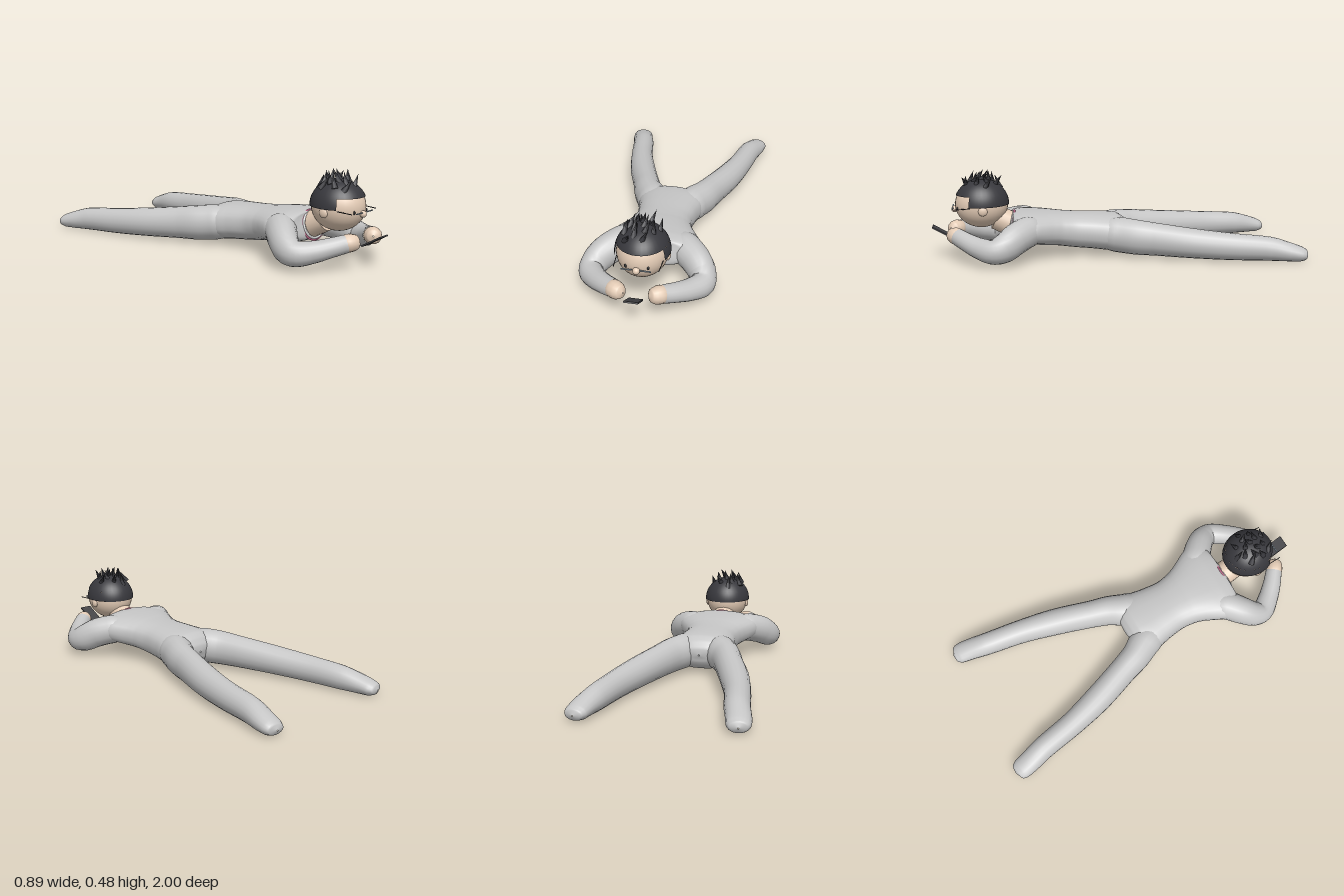
import * as THREE from 'three';

const mat = (name, color, opts = {}) => {
  const m = new THREE.MeshStandardMaterial({ color, ...opts });
  m.name = name;
  return m;
};

// Smooth limb: each section is [x, y, z, side radius, vertical radius]; power below 1 gives a boxier section
function limb(sections, sides = 18, power = 1) {
  const path = new THREE.CatmullRomCurve3(sections.map(s => new THREE.Vector3(s[0], s[1], s[2])));
  const size = new THREE.CatmullRomCurve3(sections.map(s => new THREE.Vector3(s[3], s[4], 0)));
  const n = (sections.length - 1) * 5;
  const up = new THREE.Vector3(0, 1, 0);
  const full = v => Math.sign(v) * Math.abs(v) ** power;
  const pos = [], idx = [];
  for (let i = 0; i <= n; i++) {
    const c = path.getPoint(i / n), r = size.getPoint(i / n), t = path.getTangent(i / n);
    const side = new THREE.Vector3().crossVectors(t, up).normalize();
    const top = new THREE.Vector3().crossVectors(side, t).normalize();
    for (let j = 0; j < sides; j++) {
      const a = (j / sides) * Math.PI * 2;
      const p = c.clone().addScaledVector(side, full(Math.cos(a)) * r.x).addScaledVector(top, full(Math.sin(a)) * r.y);
      pos.push(p.x, p.y, p.z);
      if (i < n) {
        const k = (j + 1) % sides, b = i * sides, d = b + sides;
        idx.push(b + j, d + j, b + k, b + k, d + j, d + k);
      }
    }
  }
  const g = new THREE.BufferGeometry();
  g.setAttribute('position', new THREE.Float32BufferAttribute(pos, 3));
  g.setIndex(idx);
  g.computeVertexNormals();
  return g;
}

export function createModel() {
  const model = new THREE.Group();
  const suit = mat('suit grey', 0xc6c6c6);
  const skin = mat('skin', 0xe4ccb6);
  const hair = mat('hair black', 0x38383d, { side: THREE.DoubleSide });
  const dark = mat('feature black', 0x2c2c2f);
  const device = mat('device charcoal', 0x444447);
  const pink = mat('collar pink', 0xc56a8c);
  const pale = mat('collar pale grey', 0xd2d2d2);
  const metal = mat('glasses blue grey', 0x9fb0bd);

  const add = (name, geo, material, x = 0, y = 0, z = 0, parent = model) => {
    const m = new THREE.Mesh(geo, material);
    m.name = name;
    m.position.set(x, y, z);
    parent.add(m);
    return m;
  };

  // Torso, from crotch to shoulders
  add('torso', limb([
    [0, 0.118, -0.086, 0.004, 0.004], [0, 0.119, -0.078, 0.09, 0.04], [0, 0.12, -0.055, 0.13, 0.074],
    [0, 0.121, -0.015, 0.168, 0.097], [0, 0.124, 0.04, 0.18, 0.101], [0, 0.131, 0.12, 0.165, 0.099],
    [0, 0.138, 0.22, 0.154, 0.096], [0, 0.147, 0.30, 0.166, 0.092], [0, 0.153, 0.35, 0.186, 0.091],
    [0, 0.158, 0.40, 0.213, 0.09], [0, 0.163, 0.45, 0.238, 0.088], [0, 0.167, 0.50, 0.246, 0.086],
    [0, 0.17, 0.545, 0.222, 0.08], [0, 0.172, 0.574, 0.165, 0.07], [0, 0.175, 0.585, 0.004, 0.004],
  ], 28, 0.82), suit);

  for (const s of [1, -1]) {
    const side = s > 0 ? 'left' : 'right';
    // Leg stretched out behind
    add(side + 'Leg', limb([
      [0.085, 0.124, 0.13, 0.05, 0.06], [0.107, 0.12, 0, 0.092, 0.097], [0.158, 0.112, -0.1, 0.083, 0.096],
      [0.193, 0.105, -0.2, 0.077, 0.09], [0.261, 0.09, -0.4, 0.076, 0.081], [0.313, 0.077, -0.6, 0.067, 0.073],
      [0.349, 0.066, -0.8, 0.064, 0.065], [0.374, 0.051, -0.9, 0.062, 0.051], [0.385, 0.041, -0.96, 0.059, 0.04],
      [0.388, 0.038, -0.988, 0.045, 0.028], [0.39, 0.037, -1, 0.003, 0.003],
    ].map(p => [p[0] * s, ...p.slice(1)])), suit);
    // Bent arm from shoulder round the elbow to the wrist
    add(side + 'Arm', limb([
      [0.10, 0.165, 0.40, 0.04, 0.045], [0.165, 0.163, 0.49, 0.083, 0.083], [0.235, 0.14, 0.56, 0.077, 0.084],
      [0.279, 0.105, 0.62, 0.069, 0.078], [0.286, 0.089, 0.675, 0.063, 0.066], [0.239, 0.099, 0.745, 0.057, 0.056],
      [0.177, 0.12, 0.81, 0.051, 0.049], [0.12, 0.137, 0.858, 0.046, 0.046],
    ].map(p => [p[0] * s, ...p.slice(1)])), suit);
    // Rounded fist
    add(side + 'Hand', limb([
      [0.128, 0.135, 0.852, 0.043, 0.043], [0.112, 0.14, 0.866, 0.047, 0.046], [0.092, 0.143, 0.881, 0.044, 0.043],
      [0.073, 0.147, 0.893, 0.032, 0.033], [0.062, 0.149, 0.9, 0.003, 0.003],
    ].map(p => [p[0] * s, ...p.slice(1)]), 14), skin);
  }

  // Neck and tilted collar rings, half sunk into the shoulders
  const neck = add('neck', new THREE.CylinderGeometry(0.065, 0.07, 0.1, 20), skin, 0, 0.195, 0.61);
  neck.rotation.x = 1.15;
  const inner = add('innerCollar', new THREE.TorusGeometry(0.08, 0.008, 8, 32), pale, 0, 0.174, 0.578);
  const trim = add('collarTrim', new THREE.TorusGeometry(0.09, 0.006, 8, 32), pink, 0, 0.172, 0.574);
  for (const ring of [inner, trim]) {
    ring.scale.y = 0.88;
    ring.rotation.x = -0.28;
  }

  // Head
  const head = new THREE.Group();
  head.name = 'head';
  head.position.set(0, 0.294, 0.73);
  model.add(head);
  add('face', new THREE.SphereGeometry(0.128, 32, 24), skin, 0, 0, 0, head).scale.z = 1.12;
  add('nose', new THREE.SphereGeometry(0.018, 16, 12), skin, 0, -0.025, 0.146, head);

  // Hair: crown all round, lower band open at the face
  const cut = 1.167;
  add('hairCrown', new THREE.SphereGeometry(0.138, 32, 12, 0, Math.PI * 2, 0, cut), hair, 0, 0, 0, head).scale.z = 1.08;
  add('hairBand', new THREE.SphereGeometry(0.138, 32, 5, Math.PI - 0.48, Math.PI + 0.96, cut, 0.41), hair, 0, 0, 0, head).scale.z = 1.08;

  // Leaning tufts scattered on the crown
  let seed = 11;
  const rnd = () => (seed = (seed * 16807) % 2147483647) / 2147483647;
  const tuft = new THREE.ConeGeometry(0.018, 0.088, 6);
  tuft.translate(0, 0.03, 0);
  for (let i = 0; i < 16; i++) {
    const a = i * 2.4, r = 0.1 * Math.sqrt((i + 0.5) / 16);
    const x = Math.cos(a) * r, z = Math.sin(a) * r;
    const t = add('hairTuft', tuft, hair, x - 0.01, Math.sqrt(0.019 - r * r) - 0.004, z, head);
    t.rotation.set((rnd() - 0.5) * 1.2, 0, -0.25 + (rnd() - 0.5) * 0.6);
    t.scale.y = 0.78 + rnd() * 0.2;
  }

  // Ears, eyes and glasses
  for (const s of [1, -1]) {
    add('ear', new THREE.SphereGeometry(0.025, 14, 10), skin, s * 0.124, -0.022, -0.005, head).scale.x = 0.5;
    add('eye', new THREE.SphereGeometry(0.009, 6, 6), dark, s * 0.055, -0.014, 0.13, head).scale.set(0.8, 1.1, 0.5);
    add('lensBar', new THREE.BoxGeometry(0.054, 0.005, 0.006), metal, s * 0.046, -0.015, 0.155, head);
    const arm = add('glassesArm', new THREE.BoxGeometry(0.003, 0.004, 0.085), dark, s * 0.112, -0.009, 0.108, head);
    arm.rotation.set(0.06, -s * 0.06, 0);
  }

  // Slab held between the hands
  const phone = add('handset', new THREE.BoxGeometry(0.07, 0.008, 0.122), device, 0, 0.145, 0.945);
  phone.rotation.x = -0.52;
  return model;
}
